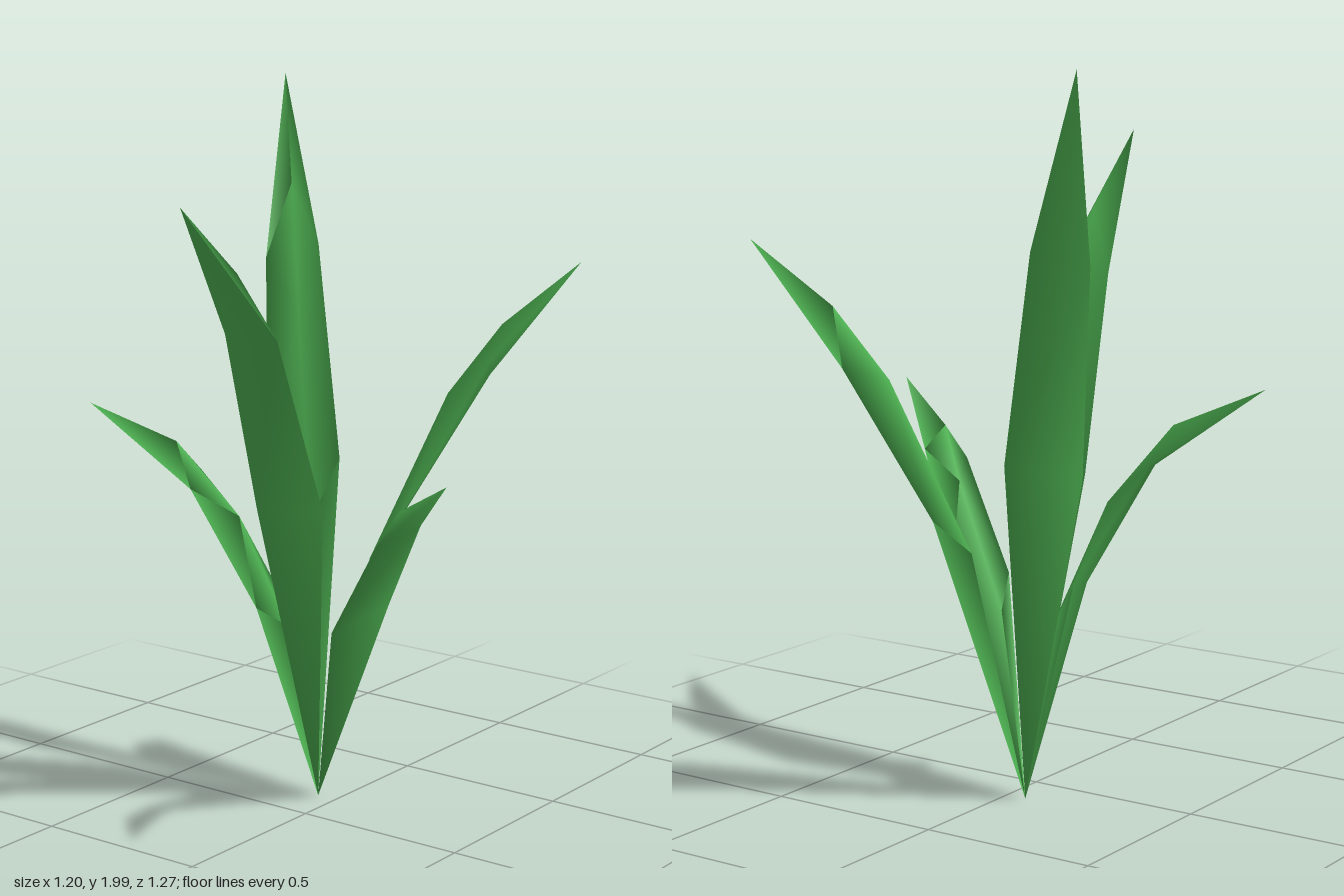
import * as THREE from 'three';

const ROOT = [-0.06, 0.01, -0.14];

// Each blade: left edge (2 points), right edge (2 points), raised midrib (3 points) and tip.
const BLADES = [
  {
    name: 'backRightBlade',
    left: [[-0.27, 0.92, -0.18], [-0.4, 1.5, -0.345]],
    right: [[-0.105, 0.96, -0.3], [-0.28, 1.54, -0.435]],
    rib: [[-0.132, 0.79, -0.197], [-0.245, 1.35, -0.295], [-0.365, 1.71, -0.42]],
    tip: [-0.55, 2, -0.635],
  },
  {
    name: 'backLeftBlade',
    left: [[0.054, 0.81, -0.398], [0.26, 1.21, -0.51]],
    right: [[0.165, 0.87, -0.243], [0.337, 1.275, -0.388]],
    rib: [[0.037, 0.7, -0.25], [0.203, 1.17, -0.385], [0.325, 1.365, -0.466]],
    tip: [0.505, 1.54, -0.58],
  },
  {
    name: 'leftBlade',
    left: [[0.195, 0.62, -0.118], [0.398, 0.905, 0.027]],
    right: [[0.138, 0.575, 0.067], [0.35, 0.866, 0.162]],
    rib: [[0.063, 0.505, -0.075], [0.28, 0.826, 0.03], [0.394, 0.96, 0.12]],
    tip: [0.597, 1.07, 0.206],
  },
  {
    name: 'frontBlade',
    left: [[0.091, 0.9, 0.044], [0.111, 1.4, 0.27]],
    right: [[-0.115, 0.88, 0.067], [-0.04, 1.405, 0.295]],
    rib: [[-0.033, 0.76, -0.03], [0.025, 1.237, 0.156], [0.05, 1.58, 0.357]],
    tip: [0.094, 1.78, 0.635],
  },
  {
    name: 'rightBlade',
    left: [[-0.142, 0.59, 0.037], [-0.307, 0.92, 0.118]],
    right: [[-0.207, 0.62, -0.128], [-0.362, 0.945, 0.0]],
    rib: [[-0.123, 0.51, -0.088], [-0.235, 0.83, -0.006], [-0.383, 1.04, 0.085]],
    tip: [-0.6, 1.14, 0.195],
  },
];

// Closed blade: ridged upper side, plain underside, smooth shared normals.
function bladeGeometry({ left, right, rib, tip }) {
  const points = [ROOT, ...left, ...right, ...rib, tip];
  const [root, l1, l2, r1, r2, m0, m1, m2, end] = points.keys();
  const index = [];
  const half = (e1, e2, flip) => {
    const faces = [[root, m0, e1], [m0, m1, e1], [m1, e2, e1], [m1, m2, e2], [m2, end, e2]];
    for (const [a, b, c] of faces) index.push(...(flip ? [a, c, b] : [a, b, c]));
  };
  half(l1, l2, false);
  half(r1, r2, true);
  index.push(root, l1, r1, l1, l2, r1, l2, r2, r1, l2, end, r2); // underside
  const geometry = new THREE.BufferGeometry();
  geometry.setAttribute('position', new THREE.Float32BufferAttribute(points.flat(), 3));
  geometry.setIndex(index);
  geometry.computeVertexNormals();
  return geometry;
}

export function createModel() {
  const plant = new THREE.Group();
  plant.name = 'plant';
  const leafGreen = new THREE.MeshStandardMaterial({ color: 0x4caf50 });
  leafGreen.name = 'leafGreen';
  for (const blade of BLADES) {
    const mesh = new THREE.Mesh(bladeGeometry(blade), leafGreen);
    mesh.name = blade.name;
    plant.add(mesh);
  }
  return plant;
}
